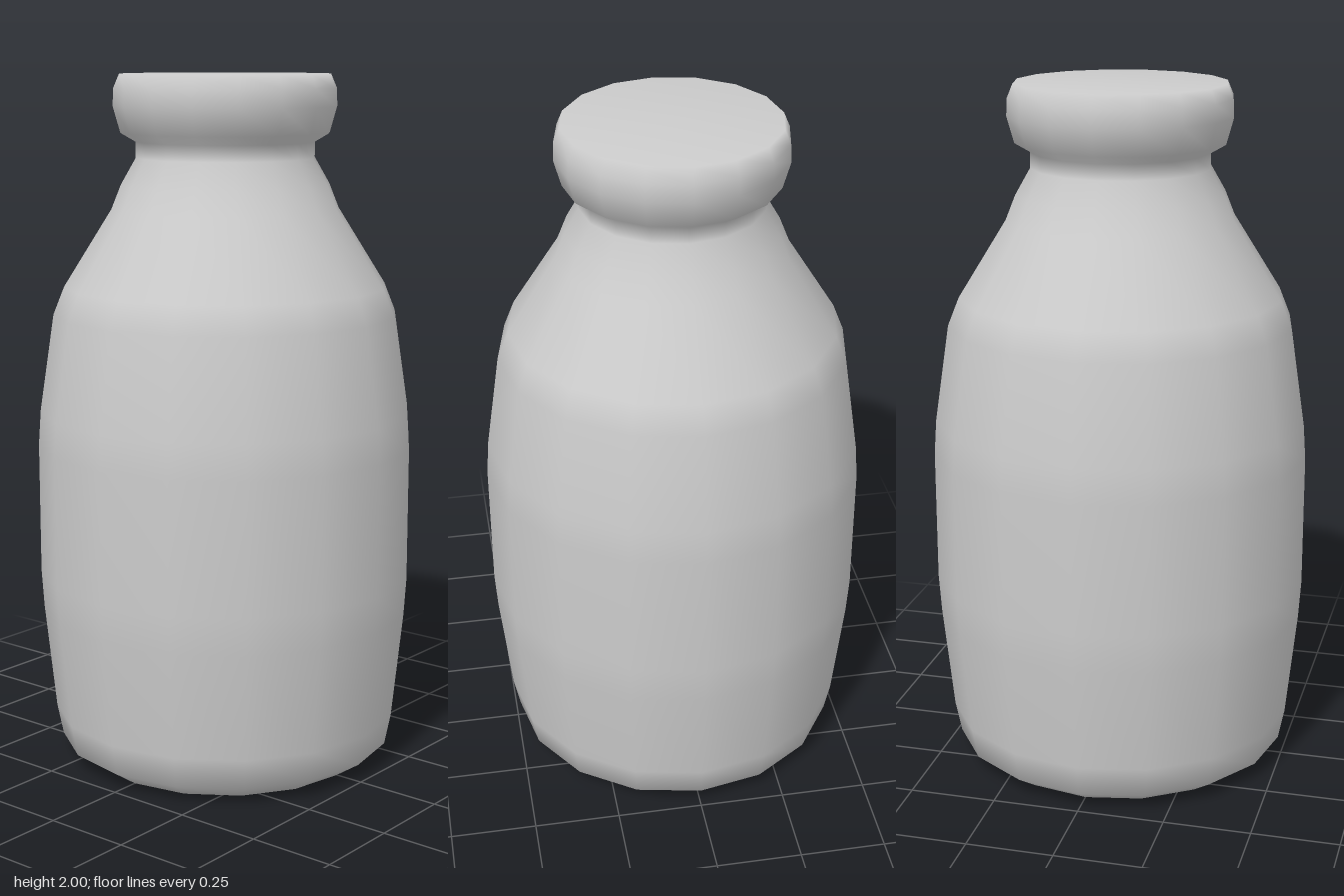
import * as THREE from 'three';

const SIDES = 16;

// Closed half-profile, [radius, height], from base centre to cap centre
const PROFILE = [
  [0, 0], [0.415, 0],                                   // flat base
  [0.49, 0.05], [0.508, 0.14], [0.54, 0.45],            // lower body
  [0.547, 0.56], [0.547, 0.94], [0.54, 1.04],           // widest band
  [0.498, 1.32], [0.466, 1.4],                          // shoulder
  [0.328, 1.62], [0.3, 1.69], [0.257, 1.765],           // slope to neck
  [0.257, 1.81], [0.3, 1.835],                          // neck groove
  [0.321, 1.91], [0.319, 1.96], [0.302, 2], [0, 2],     // rounded lip and cap
];

export function createModel() {
  const group = new THREE.Group();
  group.name = 'bottle';

  // One smooth 16-sided turned surface
  const points = PROFILE.map(([r, y]) => new THREE.Vector2(r, y));
  const body = new THREE.Mesh(
    new THREE.LatheGeometry(points, SIDES),
    new THREE.MeshStandardMaterial({ color: 0xcccccc })
  );
  body.name = 'bottleBody';
  group.add(body);

  return group;
}
